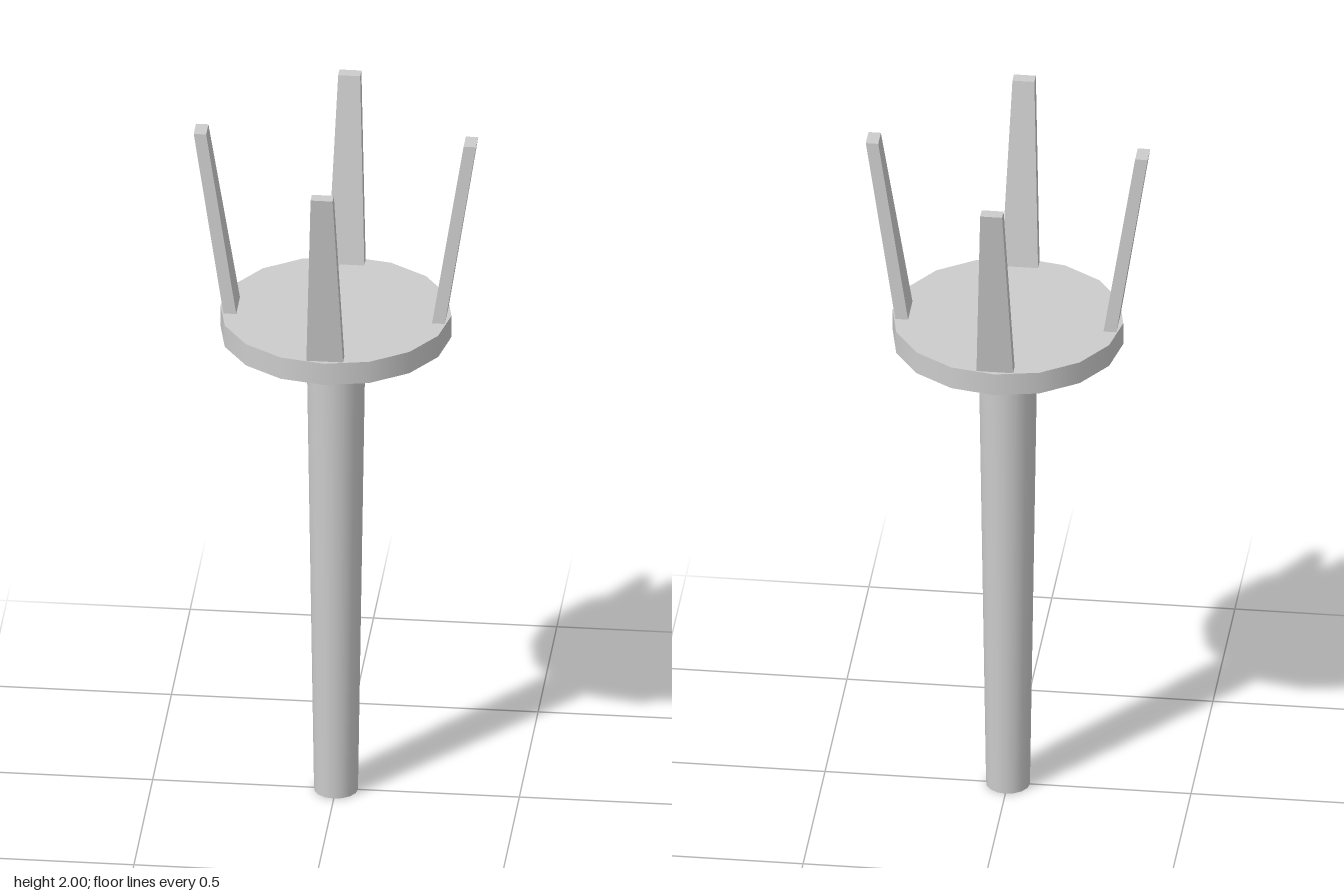
import * as THREE from 'three';

export function createModel() {
  const group = new THREE.Group();
  const grey = new THREE.MeshStandardMaterial({ color: 0xcccccc });
  grey.name = 'light grey';

  const add = (name, geometry, y) => {
    const mesh = new THREE.Mesh(geometry, grey);
    mesh.name = name;
    mesh.position.y = y;
    group.add(mesh);
    return mesh;
  };

  // Tapered shaft, widening upwards
  add('shaft', new THREE.CylinderGeometry(0.08, 0.06, 1.34, 16), 0.67);

  // Shallow cone flaring from the shaft to the dish
  add('flare', new THREE.CylinderGeometry(0.315, 0.08, 0.06, 16, 1, true), 1.37);

  // Flat round dish
  add('dish', new THREE.CylinderGeometry(0.315, 0.315, 0.065, 16), 1.4325);

  // Prong: a box narrowed towards the top and leaning outwards
  const height = 0.535;
  const prong = new THREE.BoxGeometry(1, height, 1).toNonIndexed();
  const p = prong.attributes.position;
  for (let i = 0; i < p.count; i++) {
    const top = p.getY(i) > 0;
    const outer = p.getX(i) > 0;
    p.setX(i, top ? (outer ? 0.385 : 0.351) : (outer ? 0.302 : 0.267));
    p.setZ(i, Math.sign(p.getZ(i)) * (top ? 0.03 : 0.05));
  }
  prong.computeVertexNormals();

  // Four prongs around the rim
  ['left', 'back', 'right', 'front'].forEach((side, i) => {
    add(side + 'Prong', prong, 2 - height / 2).rotation.y = i * Math.PI / 2;
  });

  return group;
}
